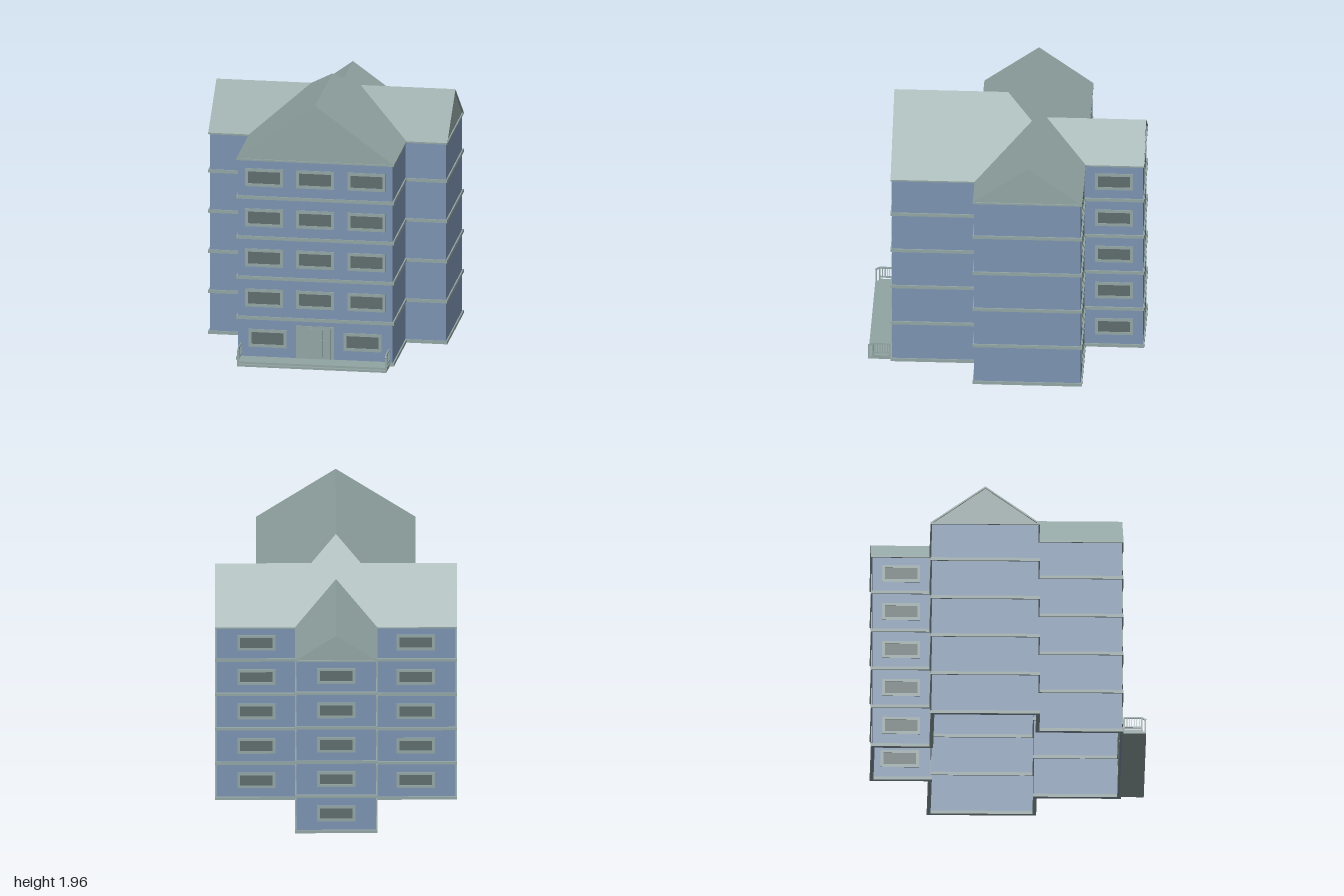
import * as THREE from 'three';

const mat = (color, side = THREE.FrontSide) => new THREE.MeshStandardMaterial({ color, side, flatShading: true });
const wallMat = mat(0x7b92b0);
const trimMat = mat(0x92a5a3);
const roofMat = mat(0x92a5a3, THREE.DoubleSide);
const glassMat = mat(0x5f6c6c);

// Half widths of the front, cross and back wings, and their z limits
const A = 0.57, B = 0.87, C = 0.29;
const ZF = 0.825, Z1 = 0.212, Z2 = -0.565, Z3 = -0.99;
const EAVE = 1.53, SLOPE = 0.733, OVER = 0.01, FLOOR = 0.305;

// Stepped floor plan, grown outward by o
function plan(o) {
  const half = [[A + o, ZF + o], [A + o, Z1 + o], [B + o, Z1 + o], [B + o, Z2 - o], [C + o, Z2 - o], [C + o, Z3 - o]];
  const all = half.concat(half.slice().reverse().map(([x, z]) => [-x, z]));
  return all.map(([x, z]) => new THREE.Vector2(x, -z));
}

// Hollow ring that follows the plan
function ring(outer, inner, height) {
  const shape = new THREE.Shape(plan(outer));
  shape.holes.push(new THREE.Path(plan(inner)));
  return new THREE.ExtrudeGeometry(shape, { depth: height, bevelEnabled: false }).rotateX(-Math.PI / 2);
}

function add(parent, name, geometry, material, x = 0, y = 0, z = 0) {
  const mesh = new THREE.Mesh(geometry, material);
  mesh.name = name;
  mesh.position.set(x, y, z);
  parent.add(mesh);
  return mesh;
}

function rect(Type, w, h) {
  return new Type([[-w, -h], [w, -h], [w, h], [-w, h]].map(([x, y]) => new THREE.Vector2(x / 2, y / 2)));
}

const box = (w, h, d) => new THREE.BoxGeometry(w, h, d);
const frameShape = rect(THREE.Shape, 0.278, 0.136);
frameShape.holes.push(rect(THREE.Path, 0.236, 0.09));
const frameGeo = new THREE.ExtrudeGeometry(frameShape, { depth: 0.022, bevelEnabled: false }).translate(0, 0, -0.016);
const glassGeo = box(0.24, 0.094, 0.017).translate(0, 0, -0.0055);

function addWindow(parent, x, y, z, turn) {
  const g = new THREE.Group();
  g.name = 'window';
  add(g, 'windowFrame', frameGeo, trimMat);
  add(g, 'windowPane', glassGeo, glassMat);
  g.position.set(x, y, z);
  g.rotation.y = turn;
  parent.add(g);
}

// Flat roof plane from [x, z, rise] corners, fanned from the first one
function roofPlane(parent, corners, mirror) {
  const pts = corners.map(([x, z, h]) => [x * mirror, EAVE + SLOPE * h, z]);
  const pos = [];
  for (let i = 1; i < pts.length - 1; i++) {
    const tri = [pts[0], pts[i], pts[i + 1]];
    if (mirror < 0) tri.reverse();
    tri.forEach(p => pos.push(...p));
  }
  const geo = new THREE.BufferGeometry();
  geo.setAttribute('position', new THREE.Float32BufferAttribute(pos, 3));
  geo.computeVertexNormals();
  add(parent, 'roofPlane', geo, roofMat);
}

// Gable triangle with rake boards, facing +z before turning
function addGable(parent, half, x, z, turn) {
  const g = new THREE.Group();
  g.name = 'gable';
  const h = half * SLOPE, t = 0.014;
  const V = (a, b) => new THREE.Vector2(a, b);
  add(g, 'gableWall', new THREE.ShapeGeometry(new THREE.Shape([V(-half, 0), V(half, 0), V(0, h)])), roofMat);
  const rake = new THREE.Shape([V(-half, 0), V(-half + t / SLOPE, 0), V(0, h - t), V(half - t / SLOPE, 0), V(half, 0), V(0, h)]);
  add(g, 'rakeBoard', new THREE.ExtrudeGeometry(rake, { depth: OVER, bevelEnabled: false }), trimMat);
  g.position.set(x, EAVE, z);
  g.rotation.y = turn;
  parent.add(g);
}

function addRoof(parent) {
  const roof = new THREE.Group();
  roof.name = 'roof';
  parent.add(roof);
  const a = A + OVER, b = B + OVER, c = C + OVER;
  const zf = ZF + OVER, z1 = Z1 + OVER, z2 = Z2 - OVER, z3 = Z3 - OVER;
  const mid = (z1 + z2) / 2, rise = (z1 - z2) / 2;
  const valley = [a - rise, mid, rise], peak = [0, z2 + a, a], backEnd = [0, z2 + c, c];
  for (const m of [1, -1]) {
    roofPlane(roof, [[0, zf, a], [a, zf, 0], [a, z1, 0], valley, peak], m);
    roofPlane(roof, [[a, z1, 0], [b, z1, 0], [b, mid, rise], valley], m);
    roofPlane(roof, [valley, [b, mid, rise], [b, z2, 0], [c, z2, 0], backEnd, peak], m);
    roofPlane(roof, [[c, z2, 0], [c, z3, 0], [0, z3, c], backEnd], m);
    addGable(roof, rise, m * B, mid, m * Math.PI / 2);
  }
  addGable(roof, a, 0, ZF, 0);
  addGable(roof, c, 0, Z3, Math.PI);
}

// Panelled double door
function addDoor(parent) {
  const door = new THREE.Group();
  door.name = 'door';
  door.position.z = ZF;
  parent.add(door);
  add(door, 'doorFrame', box(0.28, 0.25, 0.022), trimMat, 0, 0.152, -0.005);
  for (const m of [1, -1]) {
    add(door, 'doorLeaf', box(0.11, 0.226, 0.004), trimMat, m * 0.057, 0.147, 0.007);
    for (const x of [0.033, 0.082]) {
      add(door, 'doorPanel', box(0.041, 0.075, 0.004), trimMat, m * x, 0.218, 0.009);
      add(door, 'doorPanel', box(0.041, 0.125, 0.004), trimMat, m * x, 0.11, 0.009);
    }
  }
}

// Entrance platform, low step and side railings
function addPorch(parent) {
  const porch = new THREE.Group();
  porch.name = 'porch';
  parent.add(porch);
  add(porch, 'platform', box(1.1, 0.03, 0.15), trimMat, 0, 0.015, 0.9);
  add(porch, 'step', box(1.1, 0.015, 0.025), trimMat, 0, 0.0075, 0.9875);
  for (const m of [1, -1]) {
    const rail = new THREE.Group();
    rail.name = 'railing';
    rail.position.x = m * 0.545;
    porch.add(rail);
    add(rail, 'topRail', box(0.01, 0.012, 0.135), trimMat, 0, 0.126, 0.9035);
    add(rail, 'bottomRail', box(0.01, 0.01, 0.135), trimMat, 0, 0.05, 0.9035);
    const slope = add(rail, 'slopedRail', box(0.01, 0.012, 0.034), trimMat, 0, 0.117, 0.984);
    slope.rotation.x = 0.55;
    add(rail, 'newelPost', box(0.01, 0.1, 0.01), trimMat, 0, 0.06, 0.994);
    for (const z of [0.967, 0.841]) add(rail, 'post', box(0.01, 0.1, 0.009), trimMat, 0, 0.08, z);
    for (let i = 0; i < 6; i++) add(rail, 'baluster', box(0.006, 0.075, 0.006), trimMat, 0, 0.087, 0.949 - i * 0.018);
  }
}

export function createModel() {
  const model = new THREE.Group();
  model.name = 'apartmentBlock';

  add(model, 'walls', ring(0, -0.01, EAVE - 0.005), wallMat);
  const band = ring(OVER, -0.018, 0.024);
  for (let i = 0; i < 5; i++) add(model, 'floorBand', band, trimMat, 0, i ? i * FLOOR + 0.006 : 0, 0);
  add(model, 'eaveBand', ring(OVER, -0.012, 0.012), trimMat, 0, EAVE - 0.012, 0);

  // Windows on the front wing, the back wing and the rear of the cross wing
  for (let i = 0; i < 5; i++) {
    const y = 0.17 + i * FLOOR;
    if (i) addWindow(model, 0, y, ZF, 0);
    addWindow(model, 0, y, Z3, Math.PI);
    for (const m of [1, -1]) {
      addWindow(model, m * (i ? 0.377 : 0.35), y, ZF, 0);
      addWindow(model, m * C, y, -0.78, m * Math.PI / 2);
      addWindow(model, m * 0.58, y, Z2, Math.PI);
    }
  }

  addDoor(model);
  addPorch(model);
  addRoof(model);
  return model;
}
